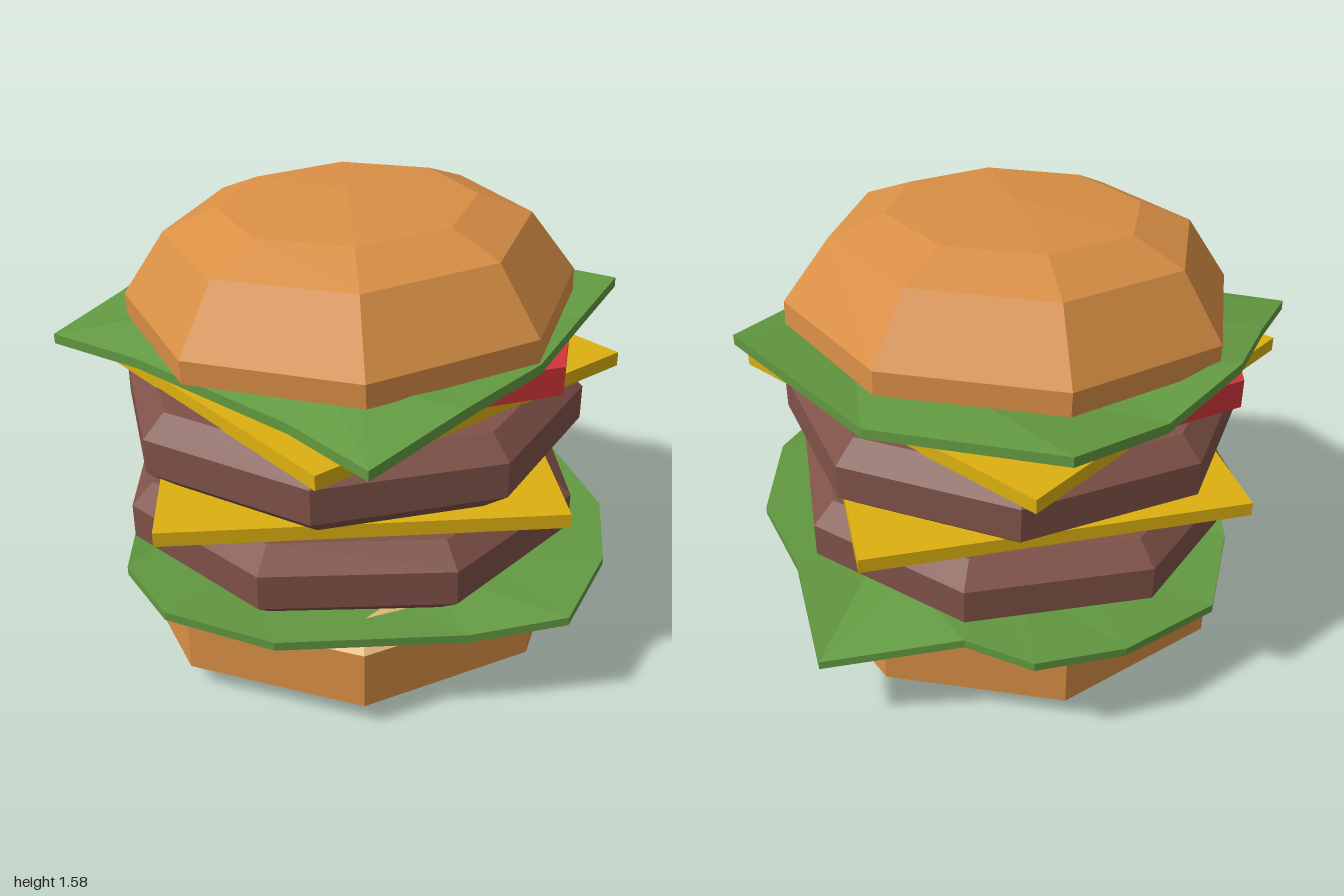
import * as THREE from 'three';

const mat = (name, color) => {
  const m = new THREE.MeshStandardMaterial({ color, flatShading: true });
  m.name = name;
  return m;
};

export function createModel() {
  const burger = new THREE.Group();
  burger.name = 'burger';
  const crust = mat('bun crust', 0xd98f45);
  const crumb = mat('bun crumb', 0xe2b878);
  const meat = mat('patty brown', 0x7f5248);
  const cheese = mat('cheese yellow', 0xdcb010);
  const leaf = mat('lettuce green', 0x629941);
  const red = mat('tomato red', 0xd23538);
  const CX = -0.04, CZ = 0.06; // axis of the stack
  const deg = Math.PI / 180;

  const add = (name, geometry, material, x, y, z, turn = 0, parent = burger) => {
    const mesh = new THREE.Mesh(geometry, material);
    mesh.name = name;
    mesh.position.set(x, y, z);
    mesh.rotation.y = turn * deg;
    parent.add(mesh);
    return mesh;
  };
  // Eight-sided turned shape from [radius, height] pairs, bottom to top
  const turned = (pts) =>
    new THREE.LatheGeometry(pts.map(([r, y]) => new THREE.Vector2(r, y)), 8).toNonIndexed();

  // Bottom bun
  add('bottomBun', turned([[0, 0], [0.71, 0], [0.82, 0.085], [0.82, 0.29]]), crust, CX, 0, CZ);
  add('bottomBunCutFace', turned([[0.82, 0.29], [0.72, 0.36], [0, 0.36]]), crumb, CX, 0, CZ);

  // Patties
  const patty = turned([[0, 0], [0.72, 0], [0.825, 0.083], [0.825, 0.205], [0.745, 0.28], [0, 0.28]]);
  add('lowerPatty', patty, meat, CX, 0.36, CZ, 21.3);
  add('upperPatty', patty, meat, CX, 0.7, CZ, 33.8);

  // Cheese slices
  const slice = new THREE.BoxGeometry(1.33, 0.05, 1.33);
  add('lowerCheese', slice, cheese, CX, 0.665, CZ, 46);
  add('upperCheese', slice, cheese, CX, 1.0, CZ, -8.9);

  // Tomato slices
  const tomato = new THREE.CylinderGeometry(0.43, 0.43, 0.1, 6);
  add('leftTomato', tomato, red, 0.33, 1.075, -0.08, 30);
  add('rightTomato', tomato, red, -0.457, 1.075, 0.1, 30);

  // Lettuce: a wavy sheet from its rim points [x, z, top height]
  const sheet = (rim, midY, thick) => {
    const pos = [];
    const down = (p) => [p[0], p[1] - thick, p[2]];
    const tri = (...ps) => ps.forEach((p) => pos.push(...p));
    const quad = (a, b, c, d) => { tri(a, b, c); tri(a, c, d); };
    const centre = [CX, midY, CZ];
    const outer = rim.map(([x, z, y]) => [x, y, z]);
    const inner = rim.map(([x, z]) => [CX + (x - CX) * 0.6, midY, CZ + (z - CZ) * 0.6]);
    outer.forEach((o, i) => {
      const j = (i + 1) % rim.length;
      const o2 = outer[j], n = inner[i], n2 = inner[j];
      tri(centre, n, n2);
      quad(n, o, o2, n2);
      tri(down(centre), down(n2), down(n));
      quad(down(n2), down(o2), down(o), down(n));
      quad(down(o), down(o2), o2, o);
    });
    const g = new THREE.BufferGeometry();
    g.setAttribute('position', new THREE.Float32BufferAttribute(pos, 3));
    g.computeVertexNormals();
    return g;
  };

  add('lowerLettuce', sheet([
    [0, 1.0, 0.4], [0.35, 0.85, 0.37], [0.76, 0.38, 0.335], [0.975, 0.13, 0.37],
    [0.9, -0.2, 0.4], [0.69, -0.53, 0.38], [0.35, -0.74, 0.4], [0.04, -1.0, 0.305],
    [-0.36, -0.74, 0.4], [-0.6, -0.7, 0.39], [-0.8, -0.45, 0.36], [-0.94, -0.08, 0.34],
    [-0.84, 0.25, 0.38], [-0.62, 0.56, 0.45], [-0.29, 0.92, 0.4],
  ], 0.385, 0.03), leaf, 0, 0, 0);

  add('upperLettuce', sheet([
    [0.69, 0.79, 1.095], [0.74, 0.42, 1.16], [0.75, 0.05, 1.175], [0.63, -0.38, 1.17],
    [0.58, -0.68, 1.215], [-0.04, -0.8, 1.13], [-0.7, -0.68, 1.2], [-0.82, -0.32, 1.16],
    [-0.89, 0.05, 1.21], [-0.81, 0.45, 1.14], [-0.76, 0.79, 1.09], [-0.4, 0.72, 1.08],
    [0.29, 0.7, 1.065],
  ], 1.16, 0.035), leaf, 0, 0, 0);

  // Top bun, tipped slightly forward
  const topBun = new THREE.Group();
  topBun.name = 'topBun';
  topBun.position.set(CX, 1.175, 0.045);
  topBun.rotation.x = 0.049;
  burger.add(topBun);
  add('topBunDome', turned([[0.78, 0], [0.78, 0.08], [0.625, 0.295], [0.44, 0.37], [0, 0.402]]),
    crust, 0, 0, 0, 0, topBun);
  add('topBunCutFace', turned([[0, 0], [0.78, 0]]), crumb, 0, 0, 0, 0, topBun);

  return burger;
}
